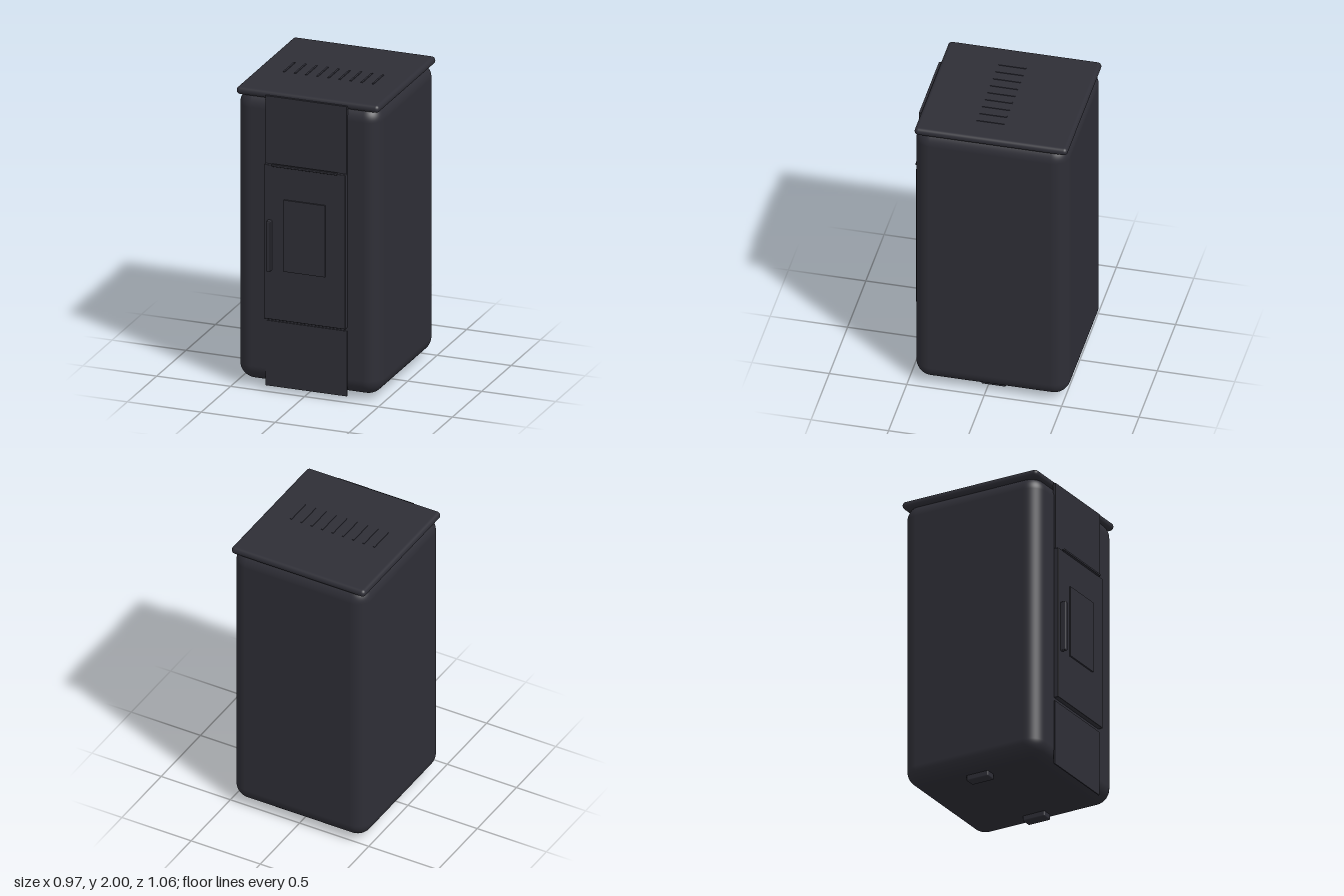
import * as THREE from 'three';
import { RoundedBoxGeometry } from 'three/addons/geometries/RoundedBoxGeometry.js';

export function createModel() {
  const stove = new THREE.Group();
  stove.name = 'stove';
  const steel = new THREE.MeshStandardMaterial({ color: 0x2e2e36 });
  steel.name = 'dark steel';

  // Box from its limits on each axis, with optional rounded edges
  function block(name, [x0, x1], [y0, y1], [z0, z1], radius = 0, segments = 3) {
    const size = [x1 - x0, y1 - y0, z1 - z0];
    const geometry = radius
      ? new RoundedBoxGeometry(...size, segments, radius)
      : new THREE.BoxGeometry(...size);
    const mesh = new THREE.Mesh(geometry, steel);
    mesh.name = name;
    mesh.position.set((x0 + x1) / 2, (y0 + y1) / 2, (z0 + z1) / 2);
    stove.add(mesh);
  }

  // Cabinet and overhanging lid
  block('body', [-0.483, 0.483], [0.035, 1.978], [-0.53, 0.463], 0.105, 8);
  block('lid', [-0.483, 0.483], [1.945, 1.996], [-0.53, 0.458], 0.025, 5);

  // Row of vent slats on the lid
  for (let i = -4; i <= 4; i++) {
    const x = i * 0.075;
    block('ventSlat', [x - 0.006, x + 0.006], [1.985, 2], [-0.083, 0.095]);
  }

  // Front panels: upper cover, door and lower skirt
  block('upperPanel', [-0.275, 0.275], [1.52, 1.972], [0.455, 0.474]);
  block('door', [-0.275, 0.275], [0.485, 1.52], [0.455, 0.495], 0.004, 2);
  block('lowerPanel', [-0.275, 0.275], [0.028, 0.465], [0.461, 0.469]);

  // Door fittings
  block('window', [-0.14, 0.14], [0.82, 1.3], [0.49, 0.505]);
  block('ventBar', [-0.222, 0.222], [1.515, 1.53], [0.49, 0.51], 0.004, 2);
  block('handle', [-0.25, -0.222], [0.815, 1.152], [0.49, 0.532], 0.006, 2);

  // Feet
  for (const side of [-1, 1]) {
    const x = side * 0.348;
    block('foot', [x - 0.038, x + 0.038], [0, 0.06], [-0.113, 0.046], 0.008, 2);
  }
  return stove;
}
